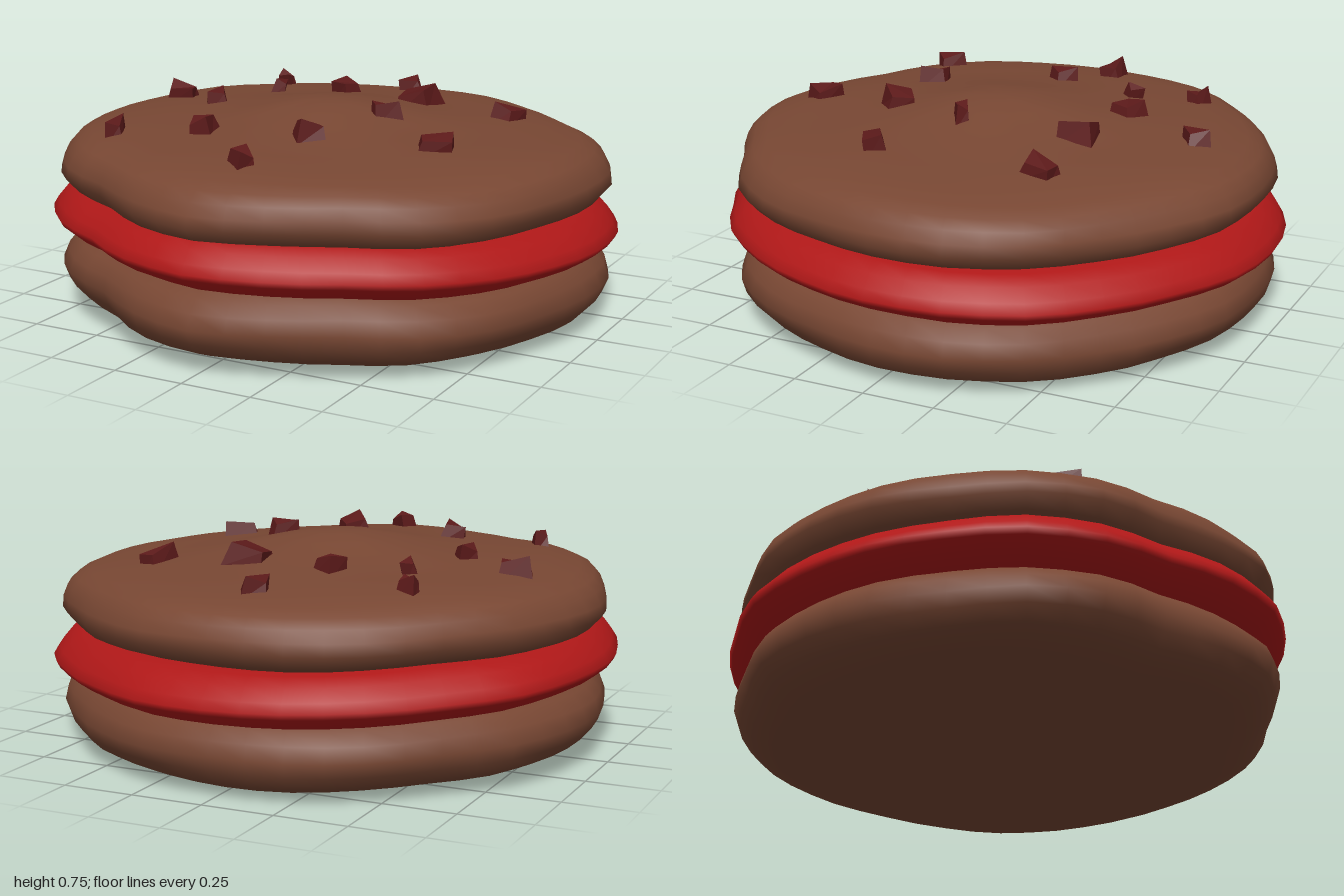
import * as THREE from 'three';
import { mergeVertices } from 'three/addons/utils/BufferGeometryUtils.js';

// Uneven outline: radius every 15 degrees, from +x towards +z
const outline = [
  0.99, 0.97, 0.97, 0.97, 0.943, 0.965, 0.99, 0.965, 0.93, 0.968, 0.985, 0.98,
  0.995, 1.0, 1.005, 0.98, 0.99, 1.0, 1.0, 1.0, 0.975, 0.975, 1.0, 1.005];

function outlineRadius(x, z) {
  const a = (Math.atan2(z, x) / (Math.PI * 2) + 1) % 1 * outline.length;
  const i = Math.floor(a);
  return THREE.MathUtils.lerp(outline[i % 24], outline[(i + 1) % 24], a - i);
}

// Round layer: lathed profile, pushed to the uneven outline and slightly tilted
function layer(name, material, profile, tiltX, tiltZ, wobble) {
  const points = profile.map(([r, y]) => new THREE.Vector2(r, y));
  let geo = new THREE.LatheGeometry(points, 48);
  geo.deleteAttribute('uv');
  geo.deleteAttribute('normal');
  geo = mergeVertices(geo, 1e-4);
  const p = geo.attributes.position;
  for (let i = 0; i < p.count; i++) {
    const x = p.getX(i), y = p.getY(i), z = p.getZ(i);
    const r = Math.hypot(x, z), a = Math.atan2(z, x);
    const k = r < 1e-3 ? 1 : outlineRadius(x, z) * (1 + wobble * Math.sin(7 * a + 20 * y) * r);
    const lump = wobble * 0.6 * Math.sin(5 * a + 9 * r) * r;
    p.setXYZ(i, x * k, y + tiltX * x + tiltZ * z + lump, z * k);
  }
  geo.computeVertexNormals();
  const mesh = new THREE.Mesh(geo, material);
  mesh.name = name;
  return mesh;
}

// Top of the upper biscuit, from the centre out: radius, height
const dome = [[0, 0.735], [0.1, 0.731], [0.2, 0.715], [0.32, 0.69], [0.45, 0.67],
  [0.6, 0.655], [0.75, 0.643], [0.86, 0.622]];

function domeHeight(r) {
  const i = Math.max(1, dome.findIndex(d => d[0] >= r));
  const [r0, y0] = dome[i - 1], [r1, y1] = dome[i];
  return THREE.MathUtils.mapLinear(r, r0, r1, y0, y1);
}

// Rough chunk: a box with a narrowed, skewed top
function chunk(w, d, seed) {
  const geo = new THREE.BoxGeometry(w, 0.08, d);
  const p = geo.attributes.position;
  for (let i = 0; i < p.count; i++) {
    const x = p.getX(i), y = p.getY(i), z = p.getZ(i);
    const top = y > 0;
    const n = Math.sin(seed * 3.7 + Math.sign(x) * 1.3 + Math.sign(z) * 2.1 + (top ? 1 : 0));
    const s = (top ? 0.78 : 1) + 0.14 * n;
    p.setXYZ(i, x * s, y + (top ? 0.012 * n : 0), z * s);
  }
  geo.computeVertexNormals();
  return geo;
}

export function createModel() {
  const group = new THREE.Group();
  group.name = 'sandwichCookie';
  const biscuit = new THREE.MeshStandardMaterial({ color: 0x784733 });
  const cream = new THREE.MeshStandardMaterial({ color: 0xb01818 });
  const chocolate = new THREE.MeshStandardMaterial({ color: 0x5c1a1a, flatShading: true });

  group.add(layer('lowerBiscuit', biscuit, [
    [0, 0.018], [0.4, 0.018], [0.72, 0.022], [0.84, 0.034], [0.91, 0.065], [0.95, 0.11],
    [0.967, 0.16], [0.95, 0.21], [0.915, 0.25], [0.86, 0.28], [0.7, 0.3], [0, 0.31]],
  -0.012, 0.012, 0.006));

  group.add(layer('creamFilling', cream, [
    [0, 0.25], [0.8, 0.25], [0.9, 0.262], [0.95, 0.285], [0.99, 0.315], [1.0, 0.335],
    [0.98, 0.365], [0.945, 0.405], [0.9, 0.43], [0.8, 0.44], [0, 0.44]],
  -0.017, 0.025, 0.003));

  group.add(layer('upperBiscuit', biscuit, [
    [0, 0.4], [0.75, 0.41], [0.87, 0.425], [0.925, 0.445], [0.965, 0.49],
    [0.958, 0.53], [0.94, 0.57], [0.91, 0.6], ...dome.slice().reverse()],
  -0.012, 0.008, 0.006));

  // Chocolate chunks: x, z, width, depth, turn
  const chunks = [
    [-0.04, -0.71, 0.09, 0.09, 0.5], [-0.5, -0.55, 0.08, 0.045, -0.3],
    [-0.41, -0.33, 0.055, 0.06, 0.6], [-0.16, -0.41, 0.1, 0.09, -0.4],
    [0.15, -0.36, 0.14, 0.13, 0.05], [0.51, -0.38, 0.08, 0.13, -0.2],
    [-0.71, -0.13, 0.12, 0.07, 0.1], [-0.49, -0.02, 0.08, 0.09, 0.7],
    [0.23, 0.04, 0.1, 0.05, 0.6], [0.5, 0.23, 0.13, 0.08, 0.5],
    [0.1, 0.35, 0.1, 0.11, 0.7], [-0.28, 0.41, 0.09, 0.1, 0.2],
    [-0.58, 0.49, 0.06, 0.11, 0.5], [0.04, 0.69, 0.11, 0.07, -0.6]];
  const chunkGroup = new THREE.Group();
  chunkGroup.name = 'chocolateChunks';
  chunks.forEach(([x, z, w, d, turn], i) => {
    const mesh = new THREE.Mesh(chunk(w, d, i), chocolate);
    mesh.name = 'chocolateChunk';
    mesh.position.set(x, domeHeight(Math.hypot(x, z)) - 0.012 * x + 0.008 * z, z);
    mesh.rotation.set(0.2 * Math.sin(i * 2.3), turn, 0.2 * Math.cos(i * 1.7));
    chunkGroup.add(mesh);
  });
  group.add(chunkGroup);
  return group;
}
